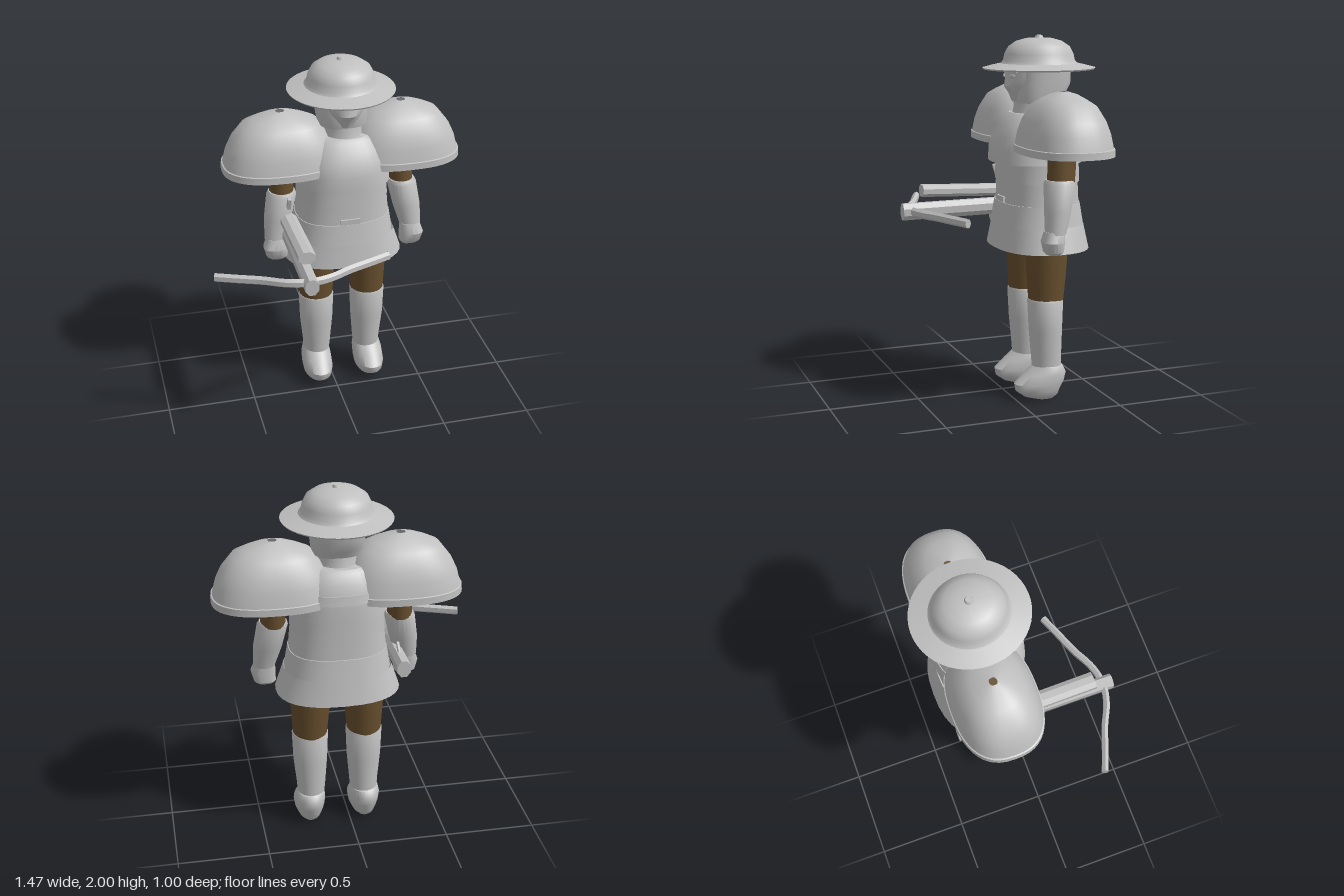
import * as THREE from 'three';
import { toCreasedNormals } from 'three/addons/utils/BufferGeometryUtils.js';

const CX = 0.065; // body axis

// Stack of superellipse rings; each row is [y, centreX, centreZ, radiusX, radiusZ]
function loft(rows, { n = 2, seg = 32, caps = true, crease = 0.6 } = {}) {
  const pos = [], idx = [];
  const pw = (v) => Math.sign(v) * Math.pow(Math.abs(v), 2 / n);
  for (const [y, cx, cz, rx, rz] of rows) {
    for (let i = 0; i < seg; i++) {
      const a = (i / seg) * Math.PI * 2;
      pos.push(cx + pw(Math.cos(a)) * rx, y, cz + pw(Math.sin(a)) * rz);
    }
  }
  for (let j = 0; j < rows.length - 1; j++) {
    for (let i = 0; i < seg; i++) {
      const k = (i + 1) % seg;
      const a = j * seg + i, b = j * seg + k, c = a + seg, d = b + seg;
      idx.push(a, c, b, b, c, d);
    }
  }
  if (caps) {
    const top = (rows.length - 1) * seg, c = rows.length * seg;
    for (const r of [rows[0], rows[rows.length - 1]]) pos.push(r[1], r[0], r[2]);
    for (let i = 0; i < seg; i++) {
      const k = (i + 1) % seg;
      idx.push(c, i, k, c + 1, top + k, top + i);
    }
  }
  const g = new THREE.BufferGeometry();
  g.setAttribute('position', new THREE.Float32BufferAttribute(pos, 3));
  g.setIndex(idx);
  return toCreasedNormals(g, crease);
}

export function createModel() {
  const model = new THREE.Group();
  const steel = new THREE.MeshStandardMaterial({ color: 0xc0c0c0, side: THREE.DoubleSide });
  steel.name = 'steel grey';
  const cloth = new THREE.MeshStandardMaterial({ color: 0x664e2d, side: THREE.DoubleSide });
  cloth.name = 'brown cloth';
  const add = (name, geo, mat = steel, parent = model) => {
    const m = new THREE.Mesh(geo, mat);
    m.name = name;
    parent.add(m);
    return m;
  };

  // Wide-brimmed hat
  const hat = [
    [0.14, 1.835], [0.29, 1.818], [0.295, 1.826], [0.25, 1.838], [0.2, 1.85], [0.187, 1.865], [0.18, 1.9],
    [0.16, 1.94], [0.12, 1.968], [0.07, 1.983], [0, 1.988],
  ].map(([r, y]) => new THREE.Vector2(r, y));
  const hatMesh = add('hat', toCreasedNormals(new THREE.LatheGeometry(hat, 48), 0.6));
  hatMesh.position.set(CX, 0, -0.188);
  hatMesh.scale.z = 1.05;
  add('hatKnob', new THREE.CylinderGeometry(0.018, 0.026, 0.018, 12)).position.set(CX, 1.991, -0.188);

  // Head, face mask and neck
  add('head', loft([
    [1.64, CX, -0.175, 0.132, 0.125], [1.68, CX, -0.18, 0.138, 0.14],
    [1.74, CX, -0.197, 0.143, 0.157], [1.84, CX, -0.2, 0.146, 0.158],
  ], { n: 2.6 }));
  add('faceMask', loft([
    [1.65, CX, -0.1, 0.045, 0.07], [1.69, CX, -0.1, 0.075, 0.085],
    [1.73, CX, -0.1, 0.095, 0.112], [1.76, CX, -0.1, 0.108, 0.105], [1.825, CX, -0.1, 0.112, 0.1],
  ], { n: 1.8 }));
  add('neck', loft([[1.55, CX, -0.17, 0.125, 0.14], [1.6, CX, -0.17, 0.108, 0.125], [1.66, CX, -0.17, 0.106, 0.12]]));
  for (const s of [-1, 1]) {
    const brow = add('brow', new THREE.BoxGeometry(0.065, 0.01, 0.009));
    brow.position.set(CX + s * 0.055, 1.805, -0.013);
    brow.rotation.set(0, s * 0.4, s * 0.25);
    const eye = add('eye', new THREE.SphereGeometry(0.026, 12, 8));
    eye.scale.set(1, 0.45, 0.18);
    eye.position.set(CX + s * 0.057, 1.784, -0.008);
    eye.rotation.y = s * 0.45;
  }

  // Breastplate and overlapping waist bands
  add('breastplate', loft([
    [1.32, CX, -0.165, 0.258, 0.243], [1.4, CX, -0.165, 0.245, 0.243], [1.46, CX, -0.17, 0.24, 0.23],
    [1.52, CX, -0.175, 0.215, 0.205], [1.57, CX, -0.18, 0.182, 0.17], [1.585, CX, -0.18, 0.16, 0.15],
  ], { n: 2.5 }));
  const band = (name, y0, y1, rx0, rx1, rz0, rz1) =>
    add(name, loft([[y0, CX, -0.178, rx0, rz0], [y1, CX, -0.178, rx1, rz1]], { n: 2.5 }));
  band('backCollar', 1.42, 1.47, 0.235, 0.225, 0.235, 0.225);
  band('upperBand', 1.215, 1.33, 0.253, 0.248, 0.215, 0.212);
  band('middleBand', 1.09, 1.225, 0.262, 0.25, 0.21, 0.205);
  band('hipBand', 0.98, 1.1, 0.285, 0.265, 0.236, 0.216);
  const buckle = add('beltKnot', new THREE.BoxGeometry(0.11, 0.03, 0.02));
  buckle.position.set(CX, 1.118, 0.03);

  // Flared skirt, open below
  add('skirt', loft([
    [0.98, CX, -0.18, 0.27, 0.215], [0.85, CX, -0.182, 0.315, 0.235],
    [0.85, CX, -0.182, 0.338, 0.257], [0.985, CX, -0.18, 0.292, 0.235],
  ], { n: 2.4, caps: false }));

  // Shoulder shells with a hole on top, arms and legs, mirrored about the body axis
  const shell = [
    [0.023, 1.705], [0.19, 1.635], [0.25, 1.55], [0.295, 1.44], [0.3, 1.4], [0.328, 1.4], [0.326, 1.437], [0.318, 1.44],
    [0.3, 1.51], [0.27, 1.575], [0.21, 1.652], [0.15, 1.682], [0.085, 1.708], [0.023, 1.722],
  ];
  for (const s of [-1, 1]) {
    const side = new THREE.Group();
    side.name = s > 0 ? 'leftSide' : 'rightSide';
    model.add(side);
    const ax = CX + s * 0.338;
    add('shoulderShell', loft(shell.map(([r, y]) => [y, ax, -0.19, r, r * (0.72 + 0.28 * Math.max(0, 1 - r / 0.1))]),
      { n: 2.5, seg: 48, caps: false, crease: 0.5 }), steel, side);

    const x = (d) => CX + s * d;
    add('upperArm', loft([
      [1.24, x(0.343), -0.175, 0.068, 0.075], [1.4, x(0.338), -0.185, 0.064, 0.078],
      [1.64, x(0.335), -0.19, 0.07, 0.08],
    ], { seg: 24 }), cloth, side);
    add('forearm', loft([
      [0.98, x(0.392), -0.125, 0.06, 0.055], [1.1, x(0.372), -0.145, 0.078, 0.07],
      [1.24, x(0.345), -0.165, 0.083, 0.084], [1.26, x(0.342), -0.168, 0.074, 0.075],
    ], { seg: 24 }), steel, side);
    add('hand', loft([
      [0.87, x(0.385), -0.115, 0.045, 0.035], [0.885, x(0.388), -0.115, 0.06, 0.05],
      [0.94, x(0.395), -0.11, 0.068, 0.06], [0.995, x(0.388), -0.12, 0.055, 0.052],
    ], { n: 2.6, seg: 20 }), steel, side);

    add('thigh', loft([
      [0.56, x(0.152), -0.173, 0.095, 0.096], [0.7, x(0.15), -0.176, 0.105, 0.108],
      [0.86, x(0.146), -0.178, 0.117, 0.118], [1.0, x(0.14), -0.18, 0.12, 0.12],
    ]), cloth, side);
    add('shin', loft([
      [0.16, x(0.152), -0.18, 0.074, 0.08], [0.24, x(0.15), -0.178, 0.08, 0.084],
      [0.4, x(0.152), -0.172, 0.095, 0.092], [0.565, x(0.152), -0.17, 0.101, 0.099],
      [0.575, x(0.152), -0.17, 0.096, 0.095],
    ]), steel, side);
    add('boot', loft([
      [0.005, x(0.156), -0.165, 0.038, 0.055], [0.025, x(0.156), -0.145, 0.062, 0.1],
      [0.06, x(0.156), -0.127, 0.08, 0.13], [0.1, x(0.156), -0.135, 0.087, 0.145],
      [0.15, x(0.156), -0.168, 0.086, 0.122], [0.19, x(0.154), -0.182, 0.078, 0.088],
      [0.205, x(0.154), -0.17, 0.07, 0.06],
    ], { crease: 0.8 }), steel, side);
  }

  // Crossbow: octagonal stock, upper rail, curved limbs and levers
  const bow = new THREE.Group();
  bow.name = 'crossbow';
  model.add(bow);
  const bx = -0.258;
  const rod = (name, z0, z1, y0, y1, w, h, sides) => {
    const g = new THREE.CylinderGeometry(0.5, 0.5, Math.hypot(z1 - z0, y1 - y0), sides);
    g.rotateY(Math.PI / sides).rotateX(Math.PI / 2).scale(w, h, 1);
    const m = add(name, toCreasedNormals(g, 0.4), steel, bow);
    m.position.set(bx, (y0 + y1) / 2, (z0 + z1) / 2);
    m.rotation.x = -Math.atan2(y1 - y0, z1 - z0);
  };
  rod('stock', -0.4, 0.5, 1.022, 1.015, 0.08, 0.1, 8);
  rod('rail', -0.1, 0.388, 1.11, 1.13, 0.1, 0.072, 8);
  rod('trigger', -0.3, -0.23, 1.05, 1.1, 0.02, 0.02, 6);
  const lever = add('lever', new THREE.BoxGeometry(0.02, 0.07, 0.025), steel, bow);
  lever.position.set(bx, 1.225, -0.06);
  lever.rotation.x = 0.3;

  const half = [[0.473, 0.275], [0.36, 0.32], [0.23, 0.37], [0.13, 0.42], [0.05, 0.443]];
  const pts = [
    ...half.map(([d, z]) => [-d, z]), [0, 0.445], ...half.slice().reverse(),
  ].map(([d, z]) => new THREE.Vector3(bx + d, 0, z));
  const limbs = add('bowLimbs', toCreasedNormals(
    new THREE.TubeGeometry(new THREE.CatmullRomCurve3(pts), 32, 0.02, 6), 0.4), steel, bow);
  limbs.scale.y = 1.3;
  limbs.position.y = 1.018;
  for (const s of [-1, 1]) {
    const tip = add('limbTip', new THREE.CircleGeometry(0.02, 6), steel, bow);
    tip.position.set(bx + s * 0.473, 1.018, 0.275);
    tip.rotation.y = s * (Math.PI / 2 + 0.38);
    tip.scale.y = 1.3;
  }
  return model;
}
